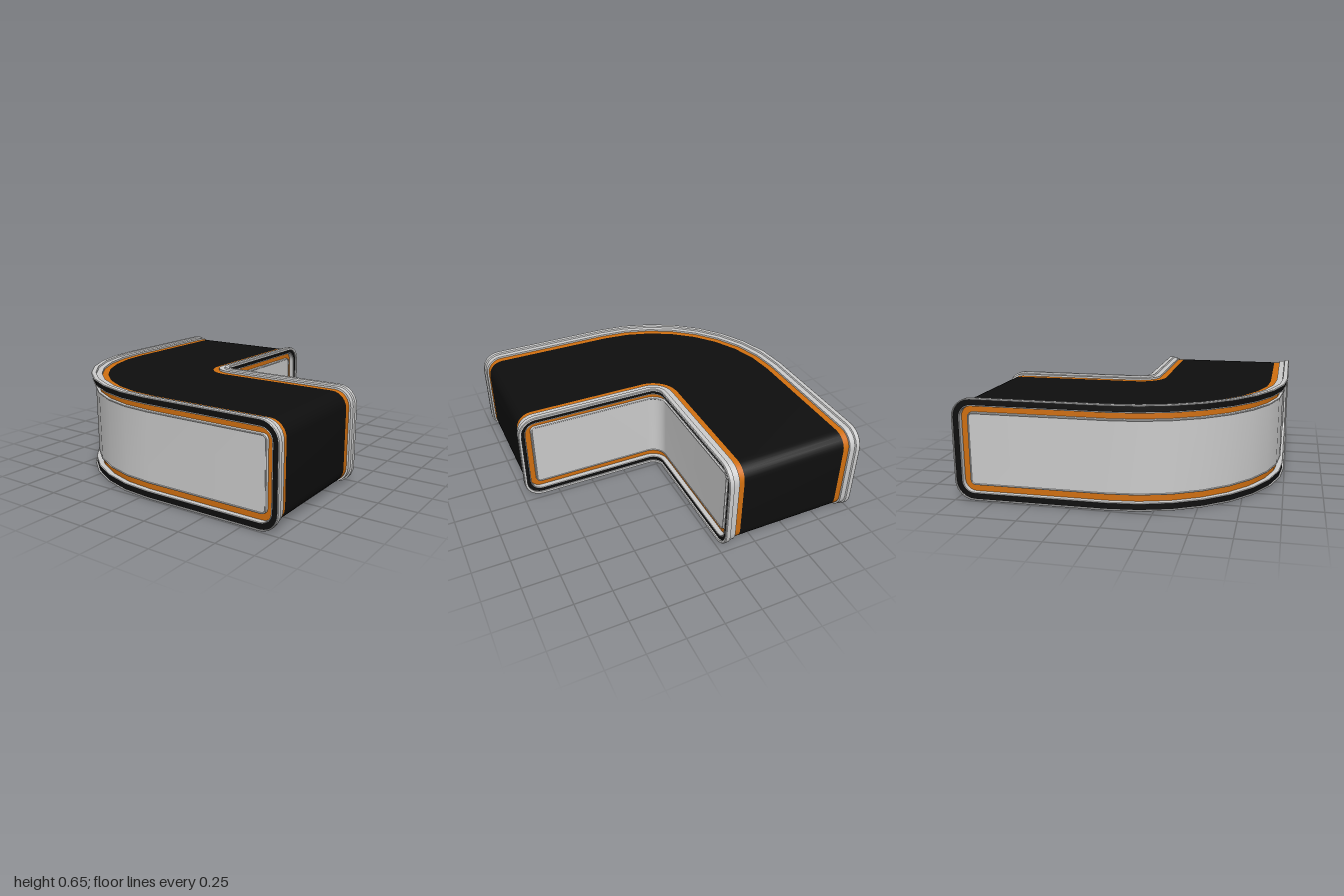
import * as THREE from 'three';
import { toCreasedNormals } from 'three/addons/utils/BufferGeometryUtils.js';

const CX = 0.043, CZ = -0.038;       // centre of the bend
const R_IN = 0.07, R_OUT = 1.033;    // radii of the inner and outer faces
const ARM_1 = 0.962, ARM_2 = 0.942;  // straight lengths beyond the bend
const Y_MID = 0.325, HALF_H = 0.325, CORNER = 0.125;
const BEND_STEPS = 8, CORNER_STEPS = 6;

// Path position p (below 0: first arm, 0..1: bend, above 1: second arm) at radius r
function place(p, y, r) {
  if (p < 0) return [CX - r, y, CZ + p];
  if (p > 1) return [CX + p - 1, y, CZ + r];
  const a = p * Math.PI / 2;
  return [CX - r * Math.cos(a), y, CZ + r * Math.sin(a)];
}

// Upper half of a rounded rectangle wrapped along the path, shrunk by inset
function upperHalf(inset) {
  const rad = CORNER - inset, h = HALF_H - inset, pts = [];
  const corner = (j) => {
    const a = (j / CORNER_STEPS) * Math.PI / 2;
    return [rad * (1 - Math.cos(a)), h - rad + rad * Math.sin(a)];
  };
  for (let j = 0; j <= CORNER_STEPS; j++) {
    const [d, y] = corner(j);
    pts.push([-(ARM_1 - inset) + d, y]);
  }
  for (let j = 0; j <= BEND_STEPS; j++) pts.push([j / BEND_STEPS, h]);
  for (let j = CORNER_STEPS; j >= 0; j--) {
    const [d, y] = corner(j);
    pts.push([1 + ARM_2 - inset - d, y]);
  }
  return pts;
}

// Closed loop at an inset and radius
function loop(inset, r) {
  const top = upperHalf(inset);
  return [
    ...top.map(([p, y]) => place(p, Y_MID + y, r)),
    ...top.slice().reverse().map(([p, y]) => place(p, Y_MID - y, r)),
  ];
}

// Skin between successive rows of points
function skin(rows, closed, flip) {
  const pos = [];
  for (let j = 0; j < rows.length - 1; j++) {
    const A = rows[j], B = rows[j + 1], n = A.length;
    for (let k = 0; k < (closed ? n : n - 1); k++) {
      const m = (k + 1) % n;
      const quad = flip ? [A[k], B[k], A[m], A[m], B[k], B[m]]
        : [A[k], A[m], B[k], A[m], B[m], B[k]];
      quad.forEach((v) => pos.push(...v));
    }
  }
  const g = new THREE.BufferGeometry();
  g.setAttribute('position', new THREE.Float32BufferAttribute(pos, 3));
  return toCreasedNormals(g, 0.5);
}

export function createModel() {
  const group = new THREE.Group();
  const material = (name, color) => {
    const m = new THREE.MeshStandardMaterial({ color });
    m.name = name;
    return m;
  };
  const grey = material('lightGrey', 0xcccccc);
  const black = material('black', 0x0e0e0e);
  const orange = material('orange', 0xd27010);

  const add = (parent, name, geometry, mat) => {
    const mesh = new THREE.Mesh(geometry, mat);
    mesh.name = name;
    parent.add(mesh);
  };

  // Black body wrapping top, ends and underside
  add(group, 'body', skin([loop(0.022, R_OUT - 0.115), loop(0.022, R_IN + 0.115)], true, false), black);

  // Each side: recessed panel, nested rings and a stepped frame
  for (const outer of [true, false]) {
    const side = new THREE.Group();
    side.name = outer ? 'outerSide' : 'innerSide';
    group.add(side);
    const radius = (t) => (outer ? R_OUT - t : R_IN + t);
    // section: [inset, depth] pairs, from the panel outward and over the rim
    const ring = (name, section, mat) =>
      add(side, name, skin(section.map(([i, t]) => loop(i, radius(t))), true, !outer), mat);
    const lip = outer ? 0.008 : 0.019;   // width of the outermost lip

    const half = upperHalf(0.102);
    const panelRows = [1, -1].map((s) => half.map(([p, y]) => place(p, Y_MID + s * y, radius(0.03))));
    add(side, 'panel', skin(panelRows, false, outer), grey);

    ring('panelLip', [[0.102, 0.03], [0.098, 0.026], [0.093, 0.028], [0.091, 0.045]], grey);
    ring('orangeInset', [[0.091, 0.045], [0.05, 0.045]], orange);
    ring('innerBead', [[0.05, 0.045], [0.05, 0.012], [0.047, 0.008], [0.043, 0.012]], grey);
    ring('blackChannel', [[0.043, 0.012], [lip, 0.012]], black);
    ring('frame', [[lip, 0.012], [lip, 0.002], [lip - 0.003, 0], [0.004, 0], [0, 0.005], [0, 0.033],
      [0.01, 0.037], [0.01, 0.074], [0.022, 0.075]], grey);
    ring('orangeBand', [[0.022, 0.075], [0.022, 0.115]], orange);
  }
  return group;
}
